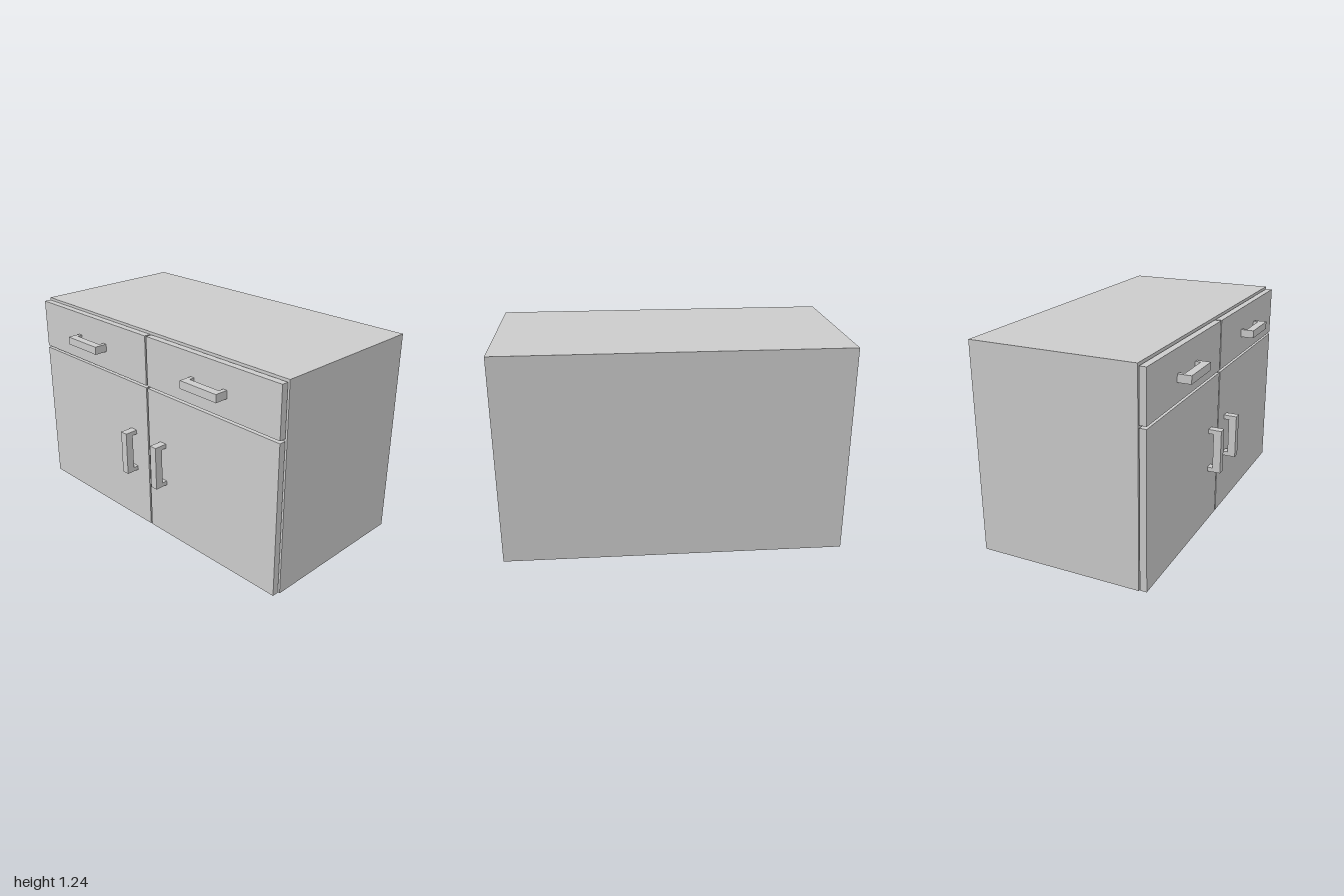
import * as THREE from 'three';

const material = new THREE.MeshStandardMaterial({ color: 0xcccccc, flatShading: true });

// Box given by its extents along each axis
function panel(name, [x0, x1], [y0, y1], [z0, z1]) {
  const mesh = new THREE.Mesh(new THREE.BoxGeometry(x1 - x0, y1 - y0, z1 - z0), material);
  mesh.position.set((x0 + x1) / 2, (y0 + y1) / 2, (z0 + z1) / 2);
  mesh.name = name;
  return mesh;
}

// U-shaped bar pull, lying along x, with its feet on z = 0
function handle(name) {
  const length = 0.268, depth = 0.08, foot = 0.026, bar = 0.048, width = 0.047;
  const h = length / 2;
  const shape = new THREE.Shape([
    [-h, 0], [-h, depth], [h, depth], [h, 0],
    [h - foot, 0], [h - foot, depth - bar], [-h + foot, depth - bar], [-h + foot, 0],
  ].map(([x, y]) => new THREE.Vector2(x, y)));
  const geometry = new THREE.ExtrudeGeometry(shape, { depth: width, bevelEnabled: false });
  geometry.translate(0, 0, -width / 2).rotateX(Math.PI / 2);
  const mesh = new THREE.Mesh(geometry, material);
  mesh.name = name;
  return mesh;
}

export function createModel() {
  const model = new THREE.Group();
  model.name = 'cabinet';
  const back = -0.55, front = 0.425, top = 1.24, t = 0.04;
  const frontZ = [0.43, 0.47];

  // Carcass
  const carcass = new THREE.Group();
  carcass.name = 'carcass';
  const inner = [-1 + t, 1 - t], depth = [back + t, front];
  carcass.add(
    panel('rightSide', [-1, -1 + t], [0, top], [back, front]),
    panel('leftSide', [1 - t, 1], [0, top], [back, front]),
    panel('topPanel', inner, [top - t, top], [back, front]),
    panel('bottomPanel', inner, [0, t], [back, front]),
    panel('backPanel', inner, [t, top - t], [back, back + t]),
    panel('shelf', inner, [0.9, 0.94], depth),
    panel('lowerDivider', [-0.02, 0.02], [t, 0.9], depth),
    panel('upperDivider', [-0.02, 0.02], [0.94, top - t], depth),
  );
  model.add(carcass);

  // Two bays, each with a drawer above a door
  for (const [side, x, handleX] of [['right', [-0.997, -0.008], -0.137], ['left', [0.003, 0.992], 0.126]]) {
    const cx = (x[0] + x[1]) / 2;

    const drawer = new THREE.Group();
    drawer.name = side + 'Drawer';
    const a = cx - 0.447, b = cx + 0.447, w = 0.02, y = [0.955, 1.18], z = [-0.48, frontZ[0]];
    drawer.add(
      panel('drawerFront', x, [0.928, 1.226], frontZ),
      panel('drawerBottom', [a, b], [y[0], y[0] + w], z),
      panel('drawerSideA', [a, a + w], [y[0] + w, y[1]], z),
      panel('drawerSideB', [b - w, b], [y[0] + w, y[1]], z),
      panel('drawerBack', [a + w, b - w], [y[0] + w, y[1]], [z[0], z[0] + w]),
      panel('drawerInnerFront', [a + w, b - w], [y[0] + w, y[1]], [z[1] - w, z[1]]),
    );
    const drawerHandle = handle('drawerHandle');
    drawerHandle.position.set(cx, 1.065, frontZ[1]);
    drawer.add(drawerHandle);

    const door = new THREE.Group();
    door.name = side + 'Door';
    const doorHandle = handle('doorHandle');
    doorHandle.rotation.z = Math.PI / 2;
    doorHandle.position.set(handleX, 0.475, frontZ[1]);
    door.add(panel('doorPanel', x, [0.003, 0.914], frontZ), doorHandle);

    model.add(drawer, door);
  }
  return model;
}
